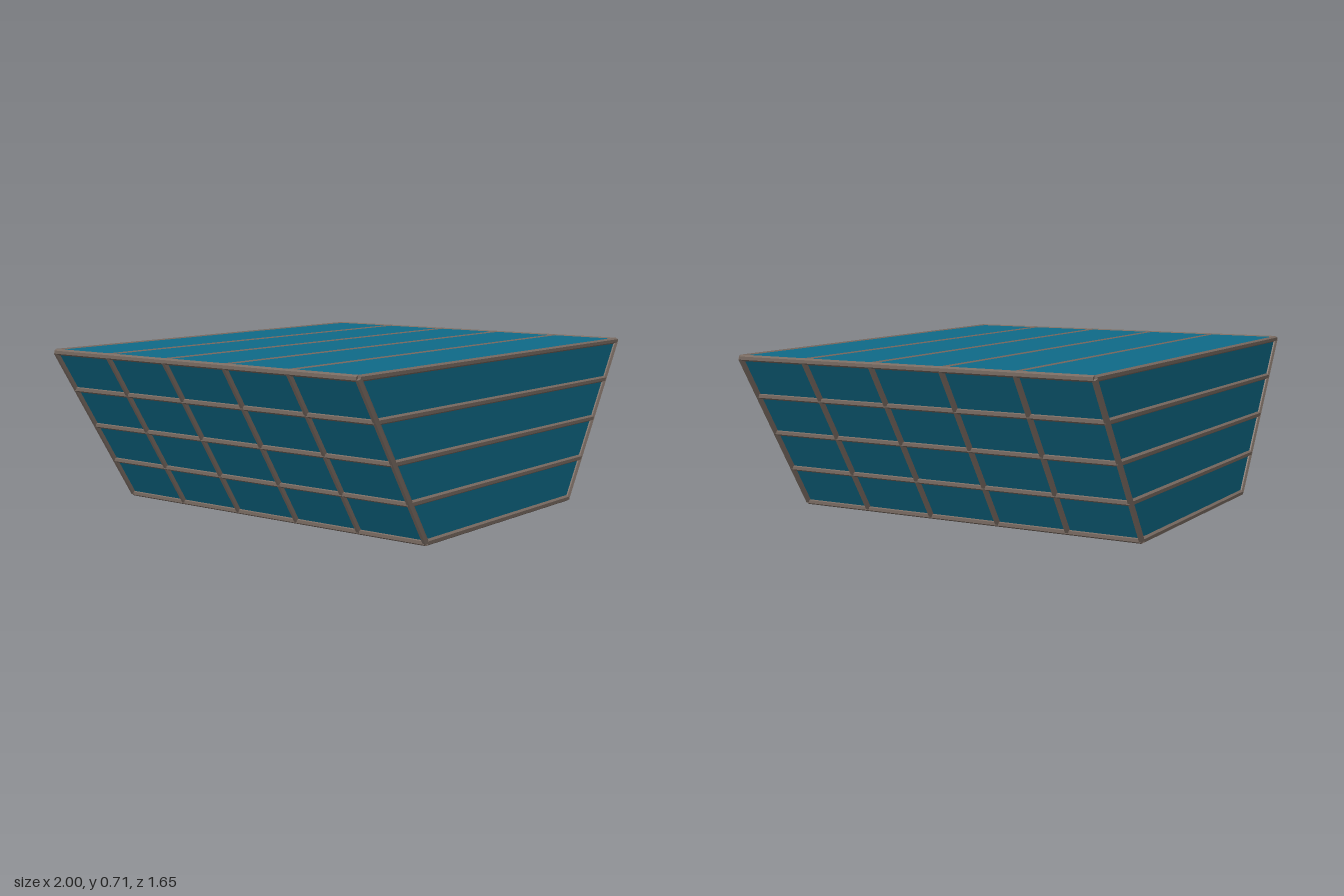
import * as THREE from 'three';

// Main dimensions, measured along the beam centre lines
const TOP = 0.988, BASE = 0.557, DEPTH = 0.8125;
const LOW = 0.0135, HIGH = 0.693, RADIUS = 0.0135;
const LEVELS = 4, BAYS = 5;

export function createModel() {
  const model = new THREE.Group();
  model.name = 'trapezoidPlatform';
  const panel = new THREE.MeshStandardMaterial({ color: 0x0f6a88 });
  panel.name = 'teal panel';
  const metal = new THREE.MeshStandardMaterial({ color: 0x786a61, flatShading: true });
  metal.name = 'brown grey metal';

  // Solid body: a trapezoid cross-section running front to back
  const bottomY = 0.0018, topY = 0.7018;
  const section = new THREE.Shape([
    new THREE.Vector2(-BASE, bottomY), new THREE.Vector2(BASE, bottomY),
    new THREE.Vector2(BASE, LOW), new THREE.Vector2(TOP, HIGH),
    new THREE.Vector2(TOP, topY), new THREE.Vector2(-TOP, topY),
    new THREE.Vector2(-TOP, HIGH), new THREE.Vector2(-BASE, LOW),
  ]);
  const bodyGeometry = new THREE.ExtrudeGeometry(section, { depth: DEPTH * 2, bevelEnabled: false });
  bodyGeometry.translate(0, 0, -DEPTH);
  const body = new THREE.Mesh(bodyGeometry, panel);
  body.name = 'body';
  model.add(body);

  // Six-sided beam from a to b with one ridge facing the given direction
  function beam(name, a, b, ridge) {
    const along = b.clone().sub(a);
    const length = along.length();
    along.normalize();
    const side = new THREE.Vector3().crossVectors(along, ridge);
    const mesh = new THREE.Mesh(new THREE.CylinderGeometry(RADIUS, RADIUS, length, 6), metal);
    mesh.name = name;
    mesh.quaternion.setFromRotationMatrix(new THREE.Matrix4().makeBasis(side, along, ridge));
    mesh.position.copy(a).add(b).multiplyScalar(0.5);
    model.add(mesh);
  }
  const point = (x, y, z) => new THREE.Vector3(x, y, z);
  const up = point(0, 1, 0), front = point(0, 0, 1);

  // Horizontal rails at every level, around all four walls
  for (let i = 0; i <= LEVELS; i++) {
    const t = i / LEVELS;
    const x = THREE.MathUtils.lerp(BASE, TOP, t);
    const y = THREE.MathUtils.lerp(LOW, HIGH, t);
    for (const s of [-1, 1]) {
      beam('wallRail', point(-x, y, s * DEPTH), point(x, y, s * DEPTH), up);
      beam('sideRail', point(s * x, y, -DEPTH), point(s * x, y, DEPTH), up);
    }
  }

  // Cross frames: sloping posts on both sides, bars over the top and base
  for (let i = 0; i <= BAYS; i++) {
    const z = THREE.MathUtils.lerp(-DEPTH, DEPTH, i / BAYS);
    for (const s of [-1, 1]) {
      beam('slopingPost', point(s * BASE, LOW, z), point(s * TOP, HIGH, z), front);
    }
    if (i > 0 && i < BAYS) {
      beam('topBar', point(-TOP, HIGH, z), point(TOP, HIGH, z), up);
      beam('baseBar', point(-BASE, LOW, z), point(BASE, LOW, z), up);
    }
  }
  return model;
}
